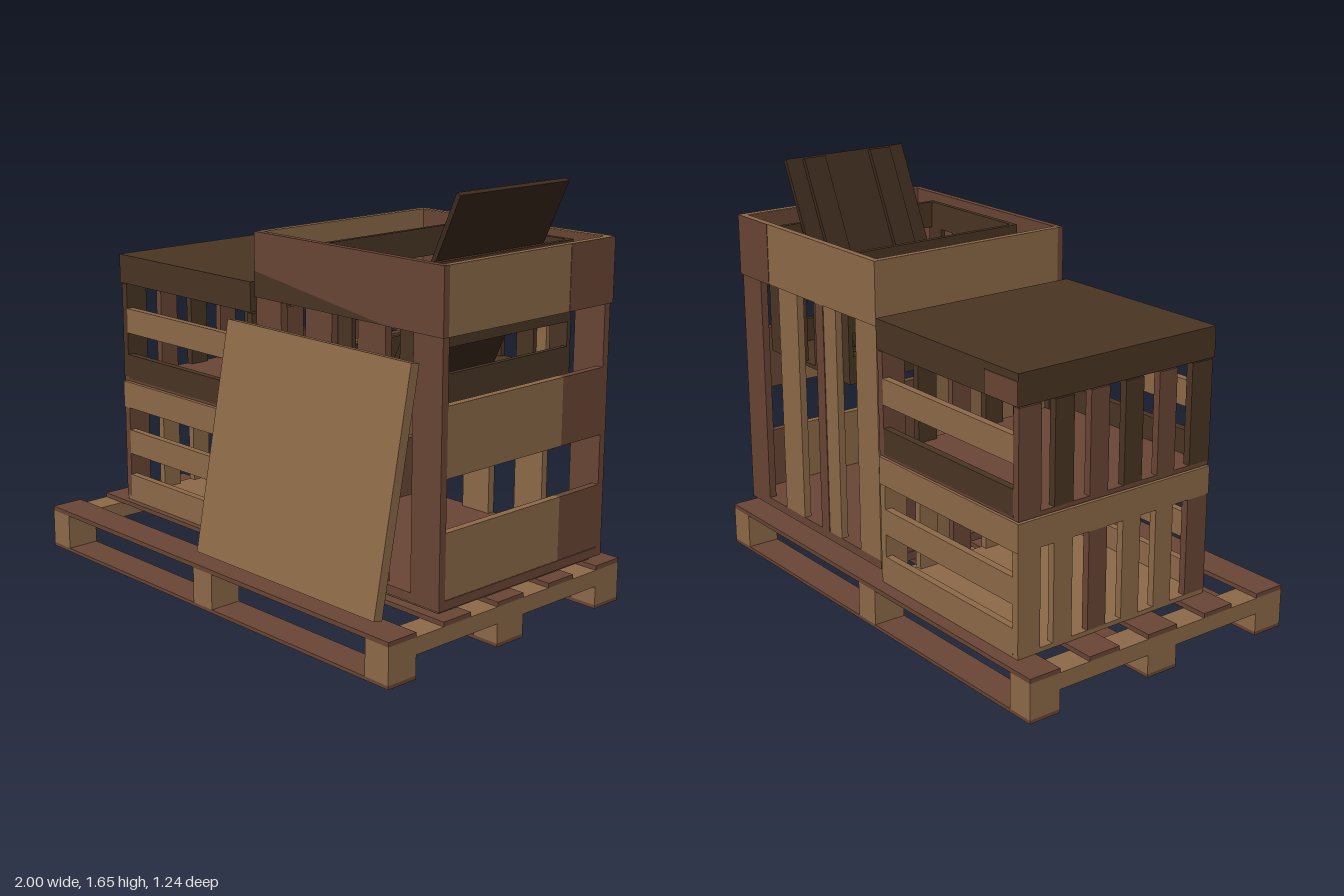
import * as THREE from 'three';

const mat = (name, color, side = THREE.FrontSide) => {
  const m = new THREE.MeshStandardMaterial({ color, side });
  m.name = name;
  return m;
};

export function createModel() {
  const tan = mat('tanWood', 0x8e6a48);
  const red = mat('reddishWood', 0x6a4636);
  const dark = mat('darkWood', 0x4a3523);
  const deep = mat('deepBrownWood', 0x3c2a1d);

  const model = new THREE.Group();
  model.name = 'palletWithCrates';

  const group = (name, parent = model) => {
    const g = new THREE.Group();
    g.name = name;
    parent.add(g);
    return g;
  };
  // Box given by its extents
  const box = (parent, name, m, x0, x1, y0, y1, z0, z1) => {
    const mesh = new THREE.Mesh(new THREE.BoxGeometry(x1 - x0, y1 - y0, z1 - z0), m);
    mesh.position.set((x0 + x1) / 2, (y0 + y1) / 2, (z0 + z1) / 2);
    mesh.name = name;
    parent.add(mesh);
    return mesh;
  };
  // Four boards around a rectangle; mats are front, back, left (+x), right (-x)
  const frame = (parent, name, mats, x0, x1, y0, y1, z0, z1, t) => {
    box(parent, name + 'Front', mats[0], x0, x1, y0, y1, z1 - t, z1);
    box(parent, name + 'Back', mats[1], x0, x1, y0, y1, z0, z0 + t);
    box(parent, name + 'Left', mats[2], x1 - t, x1, y0, y1, z0 + t, z1 - t);
    box(parent, name + 'Right', mats[3], x0, x0 + t, y0, y1, z0 + t, z1 - t);
  };

  // Pallet
  const pallet = group('pallet');
  const rows = [[-0.62, -0.485], [-0.07, 0.07], [0.485, 0.62]];
  for (const [x0, x1] of [[-1, -0.89], [-0.06, 0.05], [0.885, 1]]) {
    box(pallet, 'stringer', tan, x0, x1, 0.09, 0.155, -0.62, 0.62);
    for (const [z0, z1] of rows) box(pallet, 'block', tan, x0, x1, 0.014, 0.09, z0, z1);
  }
  for (const [z0, z1] of rows) box(pallet, 'bottomBoard', red, -1, 1, 0, 0.014, z0, z1);
  for (const [z0, z1] of [...rows, [-0.35, -0.21], [0.21, 0.35]])
    box(pallet, 'topBoard', red, -1, 1, 0.155, 0.173, z0, z1);

  // Stacked small crates: level slats on front and back, upright slats on the ends
  const X0 = -0.87, X1 = -0.04, Z0 = -0.57, Z1 = 0.33, T = 0.03;
  const smallCrate = (name, y, slatMats, endMats, floorMat) => {
    const g = group(name);
    box(g, 'floor', floorMat, X0 + 0.002, X1 - 0.002, y, y + 0.018, Z0 + 0.002, Z1 - 0.002);
    slatMats.forEach((m, i) => {
      const a = y + 0.01 + i * 0.195;
      for (const z of [Z0, Z1 - T]) box(g, 'sideSlat', m, X0 + T, X1 - T, a, a + 0.103, z, z + T);
    });
    for (const x of [X0, X1 - T])
      for (let i = 0; i < 6; i++) {
        const w = i === 0 || i === 5 ? 0.1 : 0.085;
        const z = Z0 + i * (Z1 - Z0 - 0.1) / 5;
        box(g, 'endSlat', endMats[i % endMats.length], x, x + T, y + 0.018, y + 0.41, z, z + w);
      }
    return g;
  };
  const lower = smallCrate('lowerCrate', 0.175, [tan, tan], [tan, tan, red], tan);
  frame(lower, 'rim', [tan, tan, tan, tan], X0 - 0.003, X1, 0.58, 0.69, Z0 - 0.003, Z1 + 0.003, T);
  const upper = smallCrate('upperCrate', 0.695, [dark, tan], [red, dark], red);
  box(upper, 'lidTop', dark, X0 - 0.002, X1, 1.205, 1.228, Z0 - 0.005, Z1 + 0.008);
  frame(upper, 'lidRim', [dark, dark, dark, dark], X0 - 0.002, X1, 1.11, 1.205, Z0 - 0.005, Z1 + 0.008, T);
  // Worn patches at the rear corner of the lid
  box(upper, 'lidPatchBack', red, X0 - 0.002, X0 + 0.18, 1.112, 1.2, Z0 - 0.008, Z0 - 0.005);

  // Tall crate: upright slats on front and back, level slats on the ends
  const tall = group('tallCrate');
  const bx0 = 0.01, bx1 = 0.975, bz0 = -0.54, bz1 = 0.35;
  box(tall, 'base', tan, bx0 + 0.05, bx1 - 0.03, 0.18, 0.2, bz0 + 0.03, bz1 - 0.03);
  box(tall, 'floor', red, bx0, bx1, 0.2, 0.235, bz0, bz1);
  for (let i = 0; i < 4; i++) {
    const x = bx0 + i * 0.275;
    box(tall, 'frontSlat', red, x, x + 0.14, 0.235, 1.18, bz1 - T, bz1);
    box(tall, 'backSlat', i === 3 ? red : tan, x, x + 0.14, 0.235, 1.18, bz0, bz0 + T);
  }
  box(tall, 'backSlatPatch', red, 0.37, 0.425, 0.235, 1.18, bz0 - 0.003, bz0);
  for (const x of [bx0, bx1 - T])
    for (const [y0, y1] of [[0.237, 0.485], [0.68, 0.94]]) {
      box(tall, 'endSlatRear', red, x, x + T, y0, y1, bz0 + T, -0.285);
      box(tall, 'endSlat', tan, x, x + T, y0, y1, -0.285, bz1 - T);
    }
  frame(tall, 'collar', [red, tan, tan, tan], 0.005, 0.98, 1.18, 1.428, -0.545, 0.355, 0.027);
  box(tall, 'collarPatchLeft', red, 0.98, 0.982, 1.18, 1.428, -0.545, -0.3);
  box(tall, 'collarPatchBack', red, 0.76, 0.982, 1.18, 1.428, -0.547, -0.545);
  box(tall, 'collarLiningLeft', red, 0.951, 0.953, 1.18, 1.425, -0.518, 0.328);
  box(tall, 'collarLiningBack', red, 0.034, 0.95, 1.18, 1.425, -0.518, -0.516);
  const wedge = new THREE.Shape([[0.006, 1.182], [0.7, 1.182], [0.006, 1.28]].map(p => new THREE.Vector2(...p)));
  const stain = new THREE.Mesh(new THREE.ShapeGeometry(wedge), dark);
  stain.name = 'collarWedge';
  stain.position.z = 0.357;
  tall.add(stain);

  // Open dark crate nested in the tall one
  const inner = group('innerCrate');
  const ix0 = 0.24, ix1 = 0.815, iz0 = -0.512, iz1 = 0.31, t = 0.02;
  box(inner, 'floor', dark, ix0, ix1, 0.885, 0.9, iz0, iz1);
  for (const x of [ix0, ix1 - t])
    for (const y of [0.9, 1.09]) box(inner, 'sideSlat', dark, x, x + t, y, y + 0.095, iz0 + t, iz1 - t);
  for (const z of [iz0, iz1 - t])
    for (let i = 0; i < 4; i++) {
      const x = ix0 + i * (ix1 - ix0 - 0.085) / 3;
      box(inner, 'endSlat', dark, x, x + 0.085, 0.9, 1.29, z, z + t);
    }
  frame(inner, 'rim', [dark, dark, dark, dark], ix0, ix1, 1.29, 1.4, iz0, iz1, t);

  // Loose lid tilted inside the nested crate
  const lid = group('tiltedLid');
  lid.position.set(0.713, 1.275, -0.085);
  lid.rotation.z = -THREE.MathUtils.degToRad(25);
  box(lid, 'lidBoard', deep, -0.002, 0.018, -0.41, 0.41, -0.285, 0.285);
  for (const z of [-0.16, 0.16])
    box(lid, 'lidCleat', deep, -0.02, -0.002, -0.39, 0.4, z - 0.05, z + 0.05);

  // Square panel leaning on the front of the tall crate
  const panel = group('leaningPanel');
  panel.position.set(0.415, 0.648, 0.489);
  panel.rotation.x = -THREE.MathUtils.degToRad(10.7);
  box(panel, 'panelBoard', tan, -0.485, 0.485, -0.45, 0.45, -0.02, 0.02);
  for (const x of [-0.28, 0.27])
    box(panel, 'panelCleat', red, x - 0.085, x + 0.085, -0.43, 0.42, -0.055, -0.02);

  return model;
}
